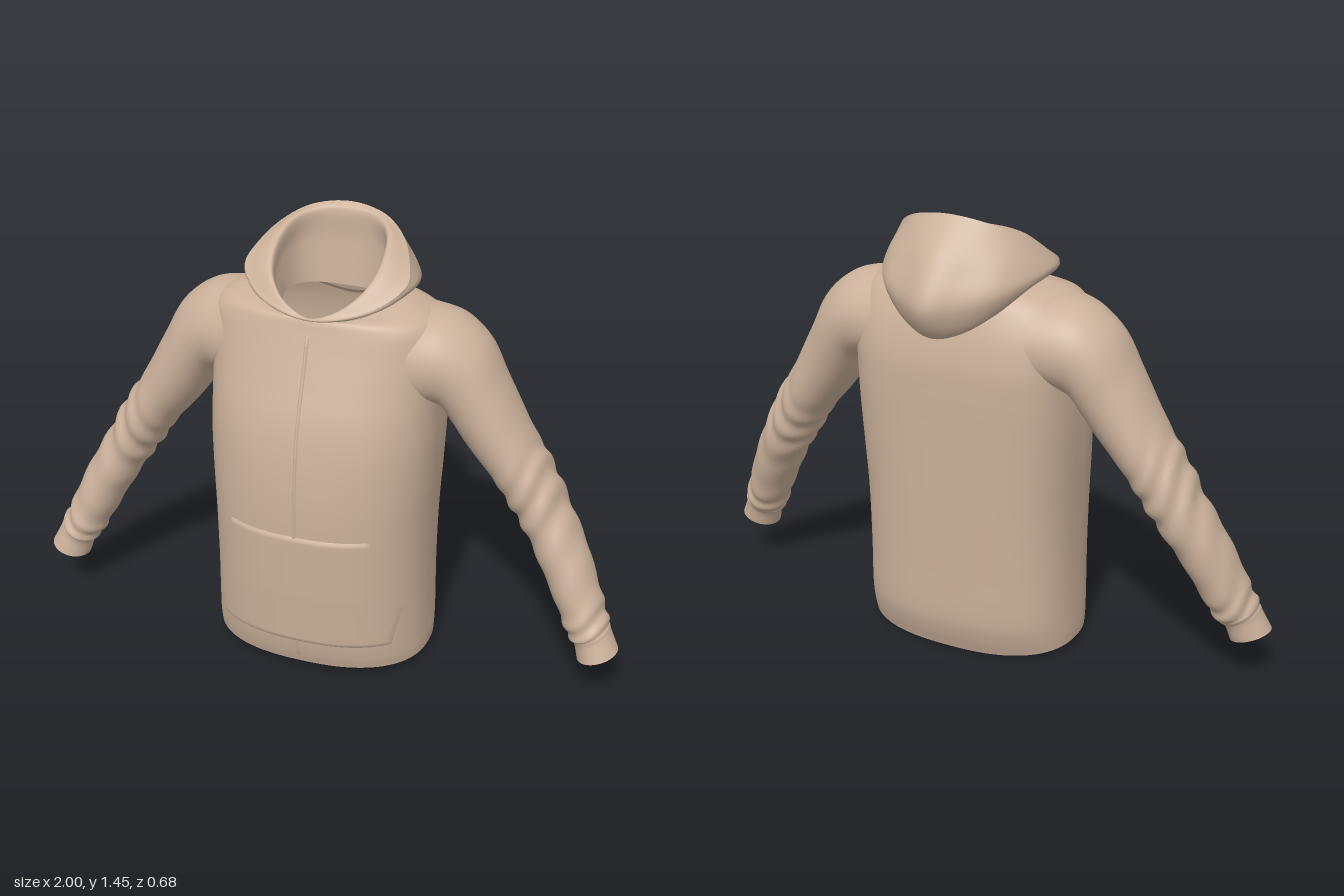
import * as THREE from 'three';

const fabric = new THREE.MeshStandardMaterial({ color: 0xcbb19b, side: THREE.DoubleSide });
fabric.name = 'beige fabric';
const V = (x, y, z) => new THREE.Vector3(x, y, z);

// Skin a list of point rows; closed rows wrap without a seam, faces inside a hole are left out
function loft(name, rows, closed = true, inHole = () => false) {
  const n = rows[0].length, pos = [], idx = [];
  rows.forEach(r => r.forEach(p => pos.push(p.x, p.y, p.z)));
  for (let i = 0; i < rows.length - 1; i++) {
    for (let j = 0; j < (closed ? n : n - 1); j++) {
      const k = (j + 1) % n, a = i * n + j, b = i * n + k, c = a + n, d = b + n;
      if (!inHole(rows[i][j].clone().add(rows[i + 1][k]).multiplyScalar(0.5))) idx.push(a, b, c, b, d, c);
    }
  }
  const g = new THREE.BufferGeometry();
  g.setAttribute('position', new THREE.Float32BufferAttribute(pos, 3));
  g.setIndex(idx);
  g.computeVertexNormals();
  const m = new THREE.Mesh(g, fabric);
  m.name = name;
  return m;
}

// Smoothly add rows between the given ones
function refine(rows, count) {
  const cols = rows[0].map((_, j) => new THREE.CatmullRomCurve3(rows.map(r => r[j])).getPoints(count));
  return cols[0].map((_, i) => cols.map(c => c[i]));
}

// Torso sections: y, half width, front z, back z, drop of the front edge, squareness of the back
const torso = [
  [0.024, 0.363, 0.292, -0.19, 0.002, 2.5], [0.06, 0.364, 0.304, -0.212, 0, 2.5], [0.12, 0.362, 0.316, -0.226, 0, 2.6],
  [0.3, 0.358, 0.33, -0.231, 0, 2.7], [0.5, 0.36, 0.336, -0.234, 0, 2.8], [0.65, 0.366, 0.331, -0.236, 0, 3],
  [0.8, 0.37, 0.315, -0.238, 0, 3.3], [0.9, 0.368, 0.293, -0.239, 0, 3.6], [1.0, 0.367, 0.258, -0.236, 0, 3.8],
  [1.1, 0.368, 0.222, -0.218, 0, 3.6], [1.17, 0.362, 0.2, -0.194, 0.005, 3], [1.205, 0.335, 0.192, -0.178, 0.015, 2.6],
  [1.23, 0.27, 0.187, -0.162, 0.03, 2.4], [1.24, 0.2, 0.183, -0.15, 0.04, 2.4],
];
const MID = 0.03, FRONT = 2.4;

function torsoRing([y, w, front, back, drop, square], row) {
  const pts = [];
  for (let j = 0; j < 96; j++) {
    const a = j / 96 * Math.PI * 2, c = Math.cos(a), s = Math.sin(a);
    const e = 2 / (s > 0 ? FRONT : square);
    const k = Math.abs(s) ** e;
    const x = Math.sign(c) * w * Math.abs(c) ** e;
    const z = MID + k * ((s > 0 ? front : back) - MID);
    const hem = row === 0 && s < 0 ? 0.022 * k * k : 0;
    pts.push(V(x, y - hem - (s > 0 ? drop * k : 0), z));
  }
  return pts;
}

// Torso section at any height
function sectionAt(y) {
  let i = 0;
  while (i < torso.length - 2 && torso[i + 1][0] < y) i++;
  const p = torso[i], q = torso[i + 1], t = (y - p[0]) / (q[0] - p[0]);
  return p.map((v, k) => THREE.MathUtils.lerp(v, q[k], t));
}
const arc = (u, n) => Math.max(0, 1 - Math.abs(u) ** n) ** (1 / n);

// Depth of the torso front, and half width of the torso at a given depth
function frontZ(x, y) {
  const [, w, front] = sectionAt(y);
  return MID + (front - MID) * arc(x / w, FRONT);
}
function sideX(y, z) {
  const [, w, front, back, , square] = sectionAt(y);
  return z > MID ? w * arc((z - MID) / (front - MID), FRONT) : w * arc((z - MID) / (back - MID), square);
}

// Cloth panel lying on the torso front, edges tucked into it
function panel(name, y0, y1, halfWidth, nu, nv, lift) {
  const rows = [];
  for (let i = 0; i <= nv; i++) {
    const row = [], y = THREE.MathUtils.lerp(y0, y1, i / nv);
    for (let j = 0; j <= nu; j++) {
      const x = (j / nu * 2 - 1) * halfWidth(y);
      const edge = i === 0 || j === 0 || i === nv || j === nu;
      row.push(V(x, y, frontZ(x, y) + (edge ? -0.003 : lift)));
    }
    rows.push(row);
  }
  return loft(name, rows, false);
}

// Armhole: an ellipse on the torso side, where the sleeve starts
const hole = { y: 1.066, z: -0.015, ry: 0.15, rz: 0.183 };
const inArmhole = p => Math.abs(p.x) > 0.2
  && Math.hypot((p.y - hole.y) / hole.ry, (p.z - hole.z) / hole.rz) < 0.9;

// Sleeve sections: upper edge x, y, lower edge x, y, centre z, half depth
const sleeve = [
  [0.41, 1.194, 0.385, 0.895, -0.02, 0.163], [0.5, 1.125, 0.415, 0.843, -0.02, 0.148],
  [0.565, 1.01, 0.462, 0.778, -0.015, 0.135], [0.66, 0.835, 0.55, 0.675, -0.012, 0.122],
  [0.72, 0.745, 0.605, 0.595, -0.008, 0.114], [0.785, 0.625, 0.66, 0.515, 0, 0.106],
  [0.868, 0.475, 0.735, 0.39, 0.03, 0.099], [0.928, 0.335, 0.805, 0.26, 0.06, 0.089],
  [0.96, 0.262, 0.84, 0.2, 0.078, 0.082], [0.97, 0.237, 0.856, 0.187, 0.085, 0.072],
  [1.0, 0.178, 0.873, 0.134, 0.097, 0.072],
];
const ANGLES = Array.from({ length: 48 }, (_, j) => j / 48 * Math.PI * 2);

function sleeveRows() {
  const start = ANGLES.map(a => {
    const y = hole.y + hole.ry * Math.cos(a), z = hole.z + hole.rz * Math.sin(a);
    return V(sideX(y, z) - 0.002, y, z);
  });
  const rings = sleeve.map(([tx, ty, bx, by, z, d]) => ANGLES.map(a => {
    const c = Math.cos(a) / 2;
    return V((tx + bx) / 2 + (tx - bx) * c, (ty + by) / 2 + (ty - by) * c, z + d * Math.sin(a));
  }));
  const rows = refine([start, ...rings], 99);
  // Slanting creases around the elbow and above the cuff
  rows.forEach((row, i) => {
    const t = i / 99;
    const amp = 0.006 * Math.exp(-(((t - 0.5) / 0.11) ** 2)) + 0.005 * Math.exp(-(((t - 0.77) / 0.07) ** 2));
    const mid = row.reduce((s, p) => s.add(p), V(0, 0, 0)).divideScalar(row.length);
    row.forEach((p, j) => {
      const a = ANGLES[j], out = p.clone().sub(mid).normalize();
      p.addScaledVector(out, amp * Math.sin(t * 85 + 2.6 * Math.sin(a + 0.6) + 1.4 * Math.cos(2 * a)));
    });
  });
  return rows;
}

// Hood rings as half outlines from the back centre to the front centre
const base = [[0, 1.15, -0.19], [0.1, 1.17, -0.18], [0.18, 1.21, -0.15], [0.22, 1.235, -0.05], [0.22, 1.235, 0.04], [0.17, 1.217, 0.12], [0.09, 1.2, 0.17], [0, 1.193, 0.185]];
const low = [[0, 1.09, -0.265], [0.09, 1.115, -0.248], [0.18, 1.175, -0.2], [0.25, 1.246, -0.11], [0.262, 1.26, 0], [0.2, 1.232, 0.12], [0.1, 1.206, 0.174], [0, 1.195, 0.188]];
const bulge = [[0, 1.19, -0.335], [0.09, 1.2, -0.292], [0.19, 1.23, -0.228], [0.257, 1.266, -0.11], [0.271, 1.272, 0.02], [0.207, 1.238, 0.124], [0.102, 1.209, 0.177], [0, 1.198, 0.191]];
const upper = [[0, 1.32, -0.28], [0.1, 1.315, -0.243], [0.197, 1.31, -0.185], [0.26, 1.297, -0.075], [0.273, 1.283, 0.035], [0.207, 1.244, 0.127], [0.102, 1.213, 0.178], [0, 1.2, 0.192]];
const rim = [[0, 1.455, -0.17], [0.12, 1.437, -0.15], [0.2, 1.395, -0.095], [0.248, 1.343, -0.012], [0.263, 1.298, 0.056], [0.203, 1.249, 0.129], [0.1, 1.217, 0.177], [0, 1.203, 0.191]];
const fold = [[0, 1.436, -0.15], [0.09, 1.43, -0.138], [0.15, 1.413, -0.085], [0.175, 1.372, 0], [0.165, 1.312, 0.085], [0.12, 1.257, 0.143], [0.06, 1.22, 0.174], [0, 1.204, 0.185]];
const inner = [[0, 1.34, -0.145], [0.09, 1.34, -0.135], [0.145, 1.33, -0.095], [0.165, 1.3, 0], [0.15, 1.262, 0.08], [0.11, 1.23, 0.135], [0.055, 1.208, 0.168], [0, 1.198, 0.181]];
const neck = [[0, 1.19, -0.13], [0.08, 1.19, -0.125], [0.125, 1.195, -0.09], [0.148, 1.205, 0], [0.13, 1.205, 0.075], [0.1, 1.2, 0.125], [0.055, 1.194, 0.163], [0, 1.188, 0.178]];

function hoodRing(half) {
  const pts = half.map(p => V(...p));
  for (let i = half.length - 2; i > 0; i--) pts.push(V(-half[i][0], half[i][1], half[i][2]));
  return new THREE.CatmullRomCurve3(pts, true).getPoints(84).slice(0, 84);
}

export function createModel() {
  const model = new THREE.Group();
  model.name = 'hoodedJacket';

  model.add(loft('torso', refine(torso.map(torsoRing), 117), true, inArmhole));

  // Front pocket with slanted hand openings, and the zip
  const pocketWidth = y => y > 0.25
    ? THREE.MathUtils.mapLinear(y, 0.25, 0.525, 0.325, 0.235)
    : THREE.MathUtils.mapLinear(y, 0.112, 0.25, 0.295, 0.325);
  model.add(panel('pocket', 0.112, 0.525, pocketWidth, 60, 40, 0.006));
  model.add(panel('zip', 0.04, 1.16, () => 0.008, 4, 60, 0.004));

  // Sleeves
  const rows = sleeveRows();
  for (const s of [1, -1]) {
    const side = rows.map(r => r.map(p => V(p.x * s, p.y, p.z)));
    if (s < 0) side.forEach(r => r.reverse());
    model.add(loft(s > 0 ? 'leftSleeve' : 'rightSleeve', side));
  }

  // Hood: outer shell up to the rim, lining back down to the neck
  model.add(loft('hoodShell', refine([base, low, bulge, upper, rim].map(hoodRing), 32)));
  model.add(loft('hoodLining', refine([rim, fold, inner, neck].map(hoodRing), 24)));
  return model;
}
